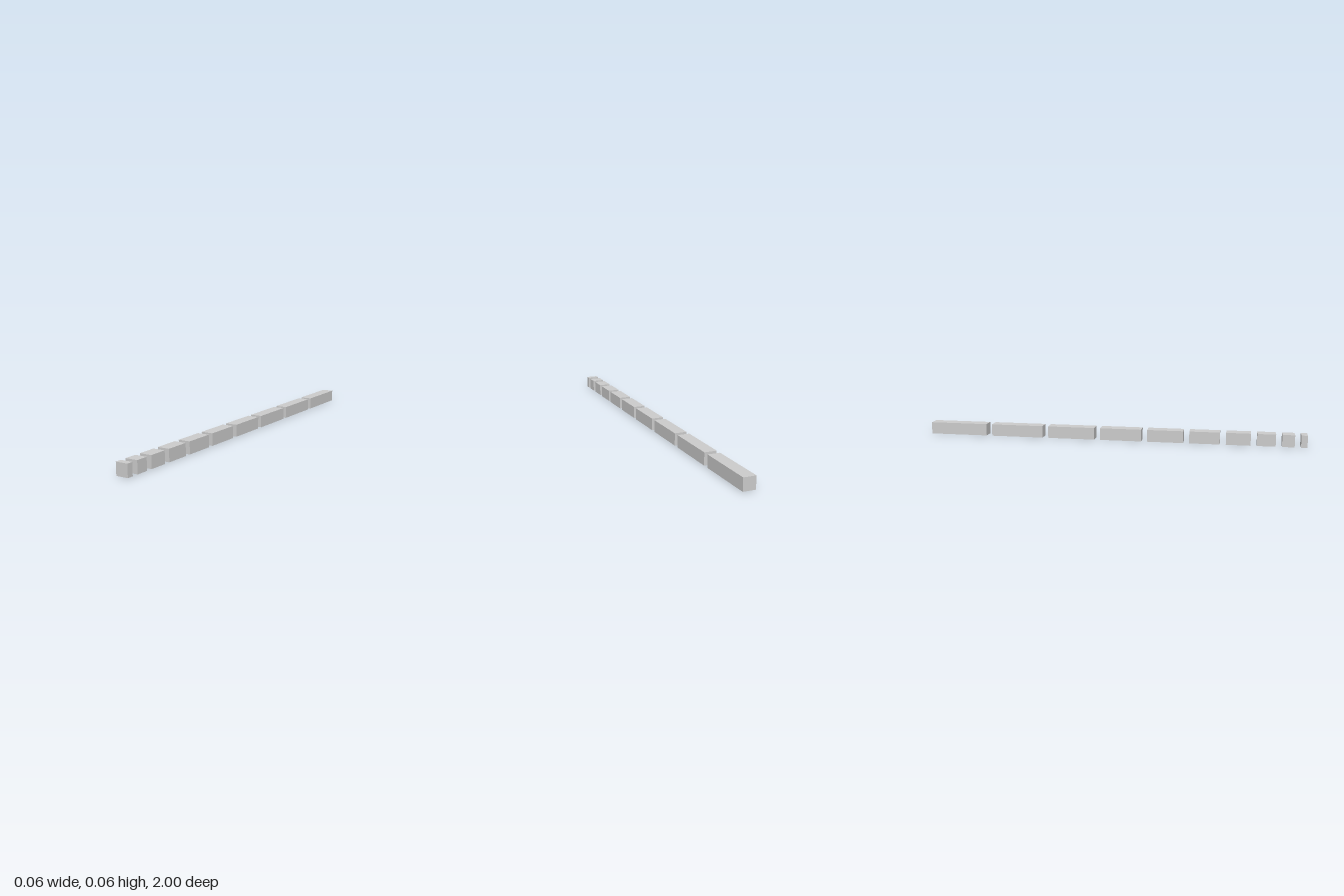
import * as THREE from 'three';

export function createModel() {
  const model = new THREE.Group();
  model.name = 'graduatedBars';
  const material = new THREE.MeshStandardMaterial({ color: 0xcccccc, flatShading: true });

  // Ten bars in a row, 1 to 10 units long, each one unit apart
  const unit = 2 / 64;
  const thickness = 2 * unit;
  let front = 1;
  for (let n = 1; n <= 10; n++) {
    const length = n * unit;
    const bar = new THREE.Mesh(new THREE.BoxGeometry(thickness, thickness, length), material);
    bar.name = `bar${n}`;
    bar.position.set(0, thickness / 2, front - length / 2);
    model.add(bar);
    front -= length + unit;
  }
  return model;
}
